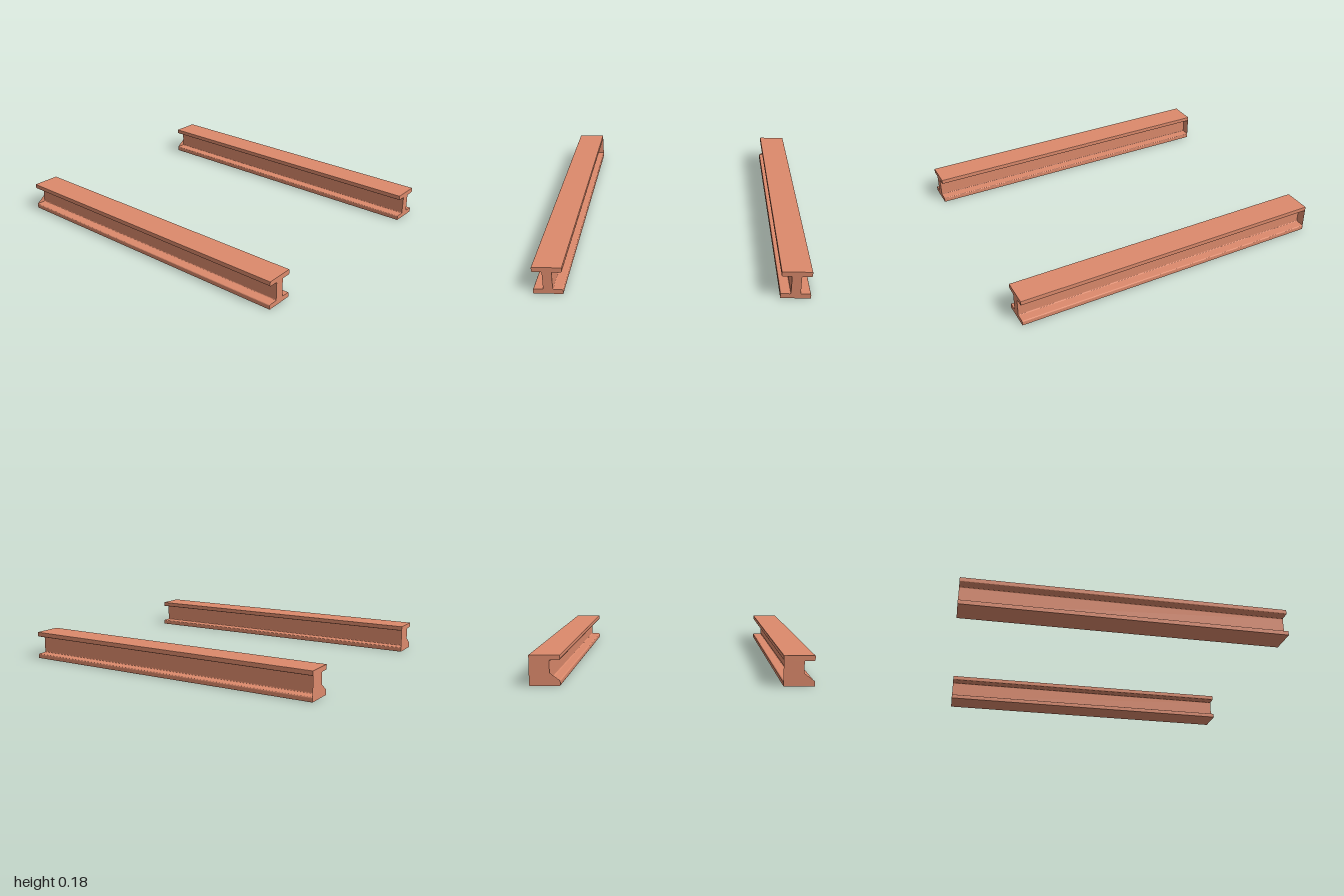
import * as THREE from 'three';

const HALF = 0.088;      // half width of a flange
const TOP = 0.176;       // rail height
const WEB = 0.028;       // half thickness of the web
const FLANGE = 0.03;     // flange thickness
const R = 0.008;         // rounding of the flange edges
const FILLET = 0.007;    // fillet between web and flange

// I-beam cross-section with softened flange edges
function beamShape() {
  const s = new THREE.Shape();
  const lo = FLANGE, hi = TOP - FLANGE;
  s.moveTo(-HALF + 0.003, 0);
  s.lineTo(HALF - 0.003, 0);
  s.quadraticCurveTo(HALF, 0, HALF, 0.003);
  s.lineTo(HALF, lo - R);
  s.quadraticCurveTo(HALF, lo, HALF - R, lo);
  s.lineTo(WEB + FILLET, lo);
  s.quadraticCurveTo(WEB, lo, WEB, lo + FILLET);
  s.lineTo(WEB, hi - FILLET);
  s.quadraticCurveTo(WEB, hi, WEB + FILLET, hi);
  s.lineTo(HALF - R, hi);
  s.quadraticCurveTo(HALF, hi, HALF, hi + R);
  s.lineTo(HALF, TOP - 0.003);
  s.quadraticCurveTo(HALF, TOP, HALF - 0.003, TOP);
  s.lineTo(-HALF + 0.003, TOP);
  s.quadraticCurveTo(-HALF, TOP, -HALF, TOP - 0.003);
  s.lineTo(-HALF, hi + R);
  s.quadraticCurveTo(-HALF, hi, -HALF + R, hi);
  s.lineTo(-WEB - FILLET, hi);
  s.quadraticCurveTo(-WEB, hi, -WEB, hi - FILLET);
  s.lineTo(-WEB, lo + FILLET);
  s.quadraticCurveTo(-WEB, lo, -WEB - FILLET, lo);
  s.lineTo(-HALF + R, lo);
  s.quadraticCurveTo(-HALF, lo, -HALF, lo - R);
  s.lineTo(-HALF, 0.003);
  s.quadraticCurveTo(-HALF, 0, -HALF + 0.003, 0);
  return s;
}

// Sheet closing the back end: one whole recess and a gusset in the other
function endShapes() {
  const full = new THREE.Shape();
  full.moveTo(WEB, FLANGE - R);
  full.lineTo(HALF, FLANGE - R);
  full.lineTo(HALF, TOP - FLANGE + R);
  full.lineTo(WEB, TOP - FLANGE + R);
  const gusset = new THREE.Shape();
  gusset.moveTo(-HALF, FLANGE - R);
  gusset.lineTo(-WEB, FLANGE - R);
  gusset.lineTo(-WEB, 0.075);
  gusset.lineTo(-HALF, FLANGE);
  return [full, gusset];
}

export function createModel() {
  const model = new THREE.Group();
  const material = new THREE.MeshStandardMaterial({ color: 0xdc8a6c });
  const sheetMaterial = new THREE.MeshStandardMaterial({ color: 0xdc8a6c, side: THREE.DoubleSide });

  const beamGeometry = new THREE.ExtrudeGeometry(beamShape(), { depth: 2, bevelEnabled: false, curveSegments: 4 });
  beamGeometry.translate(0, 0, -1);
  const endGeometry = new THREE.ShapeGeometry(endShapes());
  endGeometry.translate(0, 0, -1);

  // Two identical parallel rails
  for (const [name, x] of [['leftRail', 0.712], ['rightRail', -0.712]]) {
    const rail = new THREE.Group();
    rail.name = name;
    rail.position.x = x;
    const beam = new THREE.Mesh(beamGeometry, material);
    beam.name = 'beam';
    const end = new THREE.Mesh(endGeometry, sheetMaterial);
    end.name = 'backEndSheet';
    rail.add(beam, end);
    model.add(rail);
  }
  return model;
}
